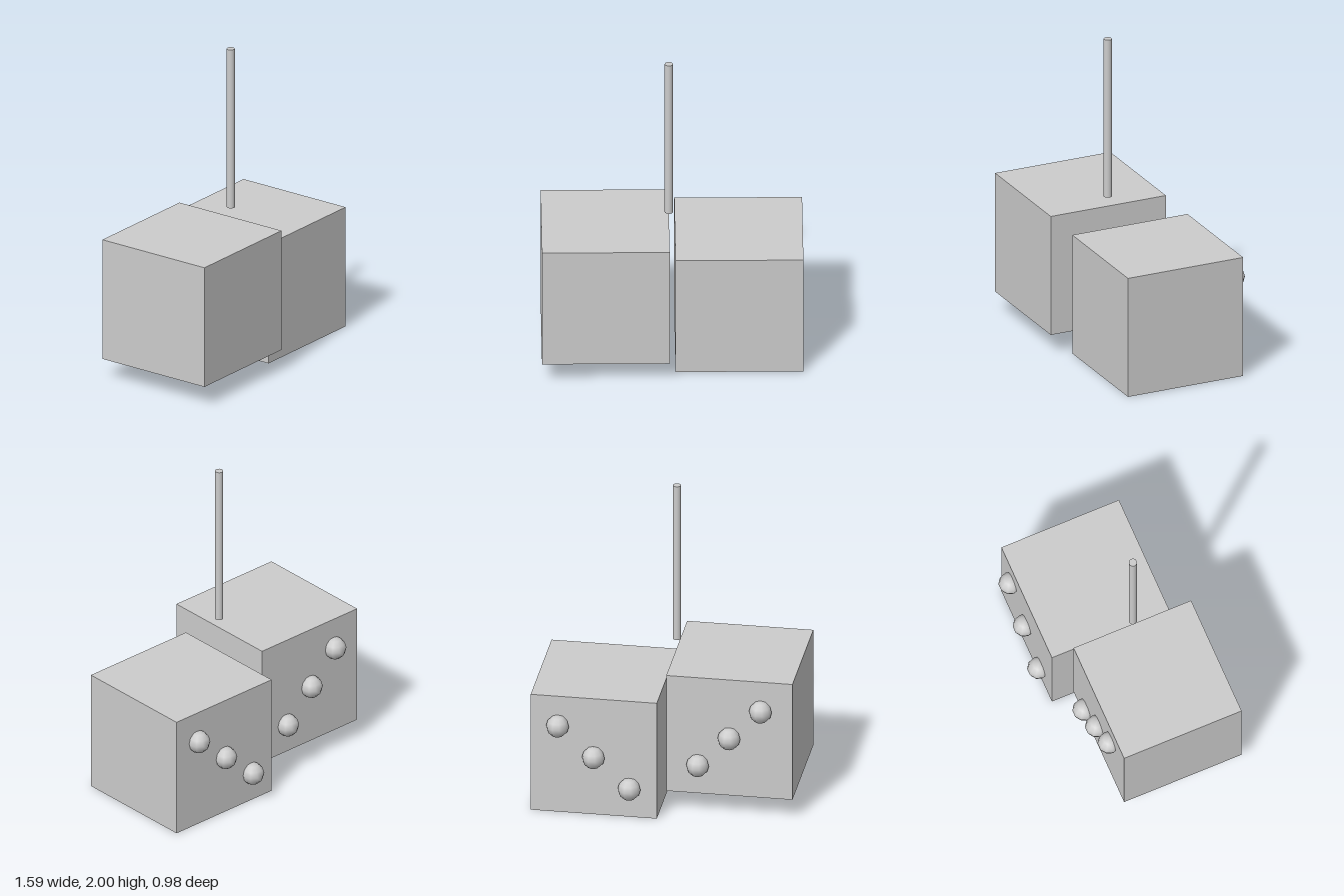
import * as THREE from 'three';

export function createModel() {
  const model = new THREE.Group();
  const grey = new THREE.MeshStandardMaterial({ color: 0xcccccc });
  grey.name = 'light grey';

  const size = 0.775;
  const cubeGeometry = new THREE.BoxGeometry(size, size, size);
  const pipGeometry = new THREE.SphereGeometry(0.07, 10, 6);

  const add = (parent, geometry, name, x, y, z) => {
    const mesh = new THREE.Mesh(geometry, grey);
    mesh.name = name;
    mesh.position.set(x, y, z);
    parent.add(mesh);
  };

  // A die with three raised pips running diagonally across its back
  const addDie = (name, x, y, z, spread, slope) => {
    const die = new THREE.Group();
    die.name = name;
    die.position.set(x, y, z);
    add(die, cubeGeometry, 'dieCube', 0, 0, 0);
    for (const i of [-1, 0, 1]) {
      add(die, pipGeometry, 'pip', i * spread, i * slope * 0.195, -size / 2 - 0.016);
    }
    model.add(die);
  };
  addDie('leftDie', 0.404, 0.388, -0.025, 0.22, 1);
  addDie('rightDie', -0.408, 0.518, 0.102, 0.193, -1);

  // Upright hanging rod above the dice
  add(model, new THREE.CylinderGeometry(0.025, 0.025, 1.03, 16), 'hangingRod', -0.022, 1.485, 0.105);

  return model;
}
